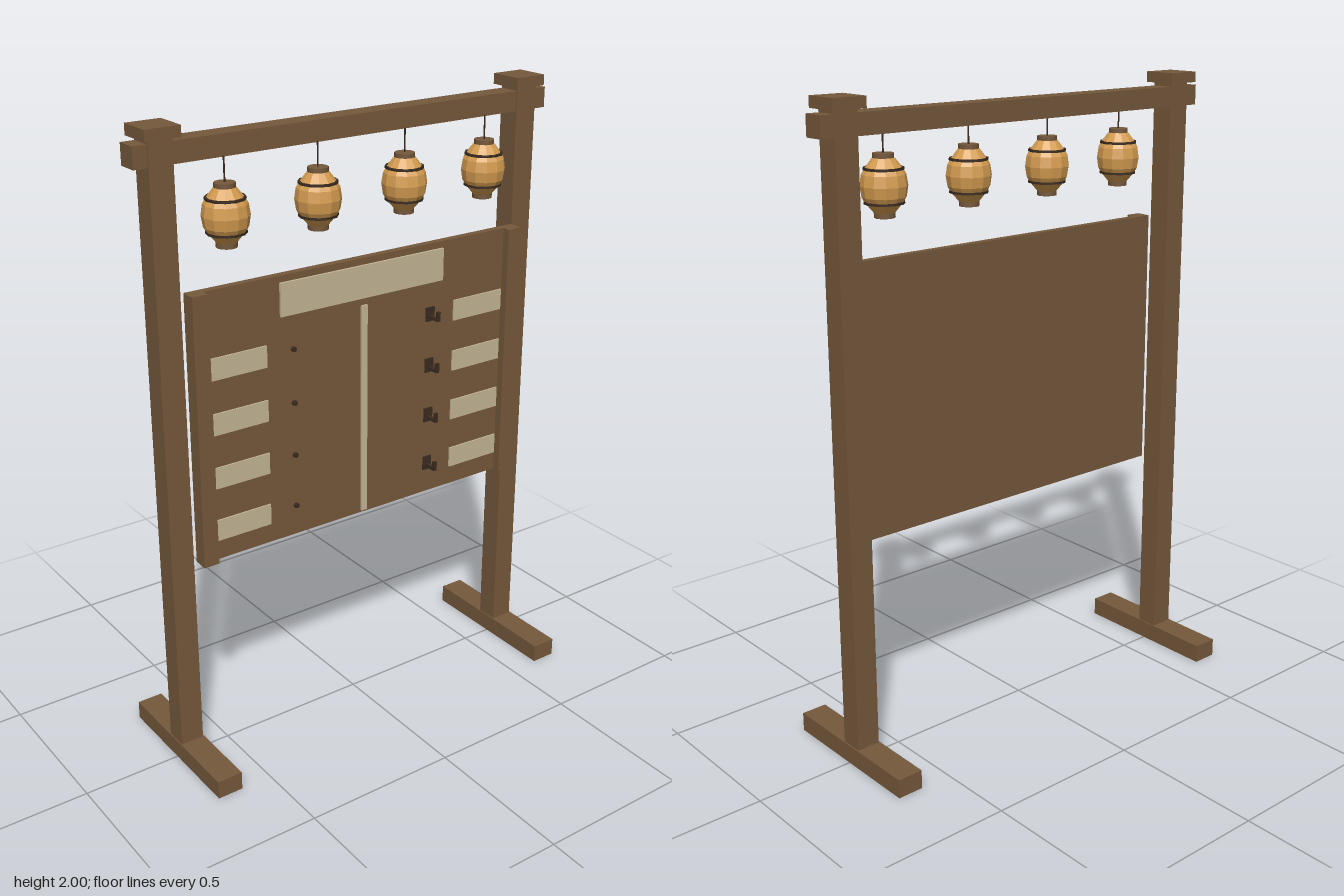
import * as THREE from 'three';

const mat = (name, color, side = THREE.FrontSide) => {
  const m = new THREE.MeshStandardMaterial({ color, side });
  m.name = name;
  return m;
};

export function createModel() {
  const wood = mat('wood', 0x75583b);
  const paper = mat('paper', 0xc4b595);
  const amber = mat('lanternAmber', 0xd49c50);
  const iron = mat('darkIron', 0x3b2c20);
  amber.flatShading = true;

  const model = new THREE.Group();
  model.name = 'noticeBoard';

  const add = (parent, name, geometry, material, x, y, z) => {
    const mesh = new THREE.Mesh(geometry, material);
    mesh.name = name;
    mesh.position.set(x, y, z);
    parent.add(mesh);
    return mesh;
  };
  // Box given by its limits on each axis
  const box = (parent, name, material, [x0, x1], [y0, y1], [z0, z1]) =>
    add(parent, name, new THREE.BoxGeometry(x1 - x0, y1 - y0, z1 - z0), material,
      (x0 + x1) / 2, (y0 + y1) / 2, (z0 + z1) / 2);
  const around = (c, w) => [c - w / 2, c + w / 2];

  // Frame: feet, posts, caps and the top beam
  for (const s of [-1, 1]) {
    const side = s > 0 ? 'left' : 'right';
    box(model, side + 'Foot', wood, around(s * 0.643, 0.083), [0, 0.06], [-0.256, 0.256]);
    box(model, side + 'Post', wood, around(s * 0.643, 0.075), [0.06, 1.968], [-0.045, 0.028]);
    box(model, side + 'Cap', wood, around(s * 0.643, 0.11), [1.967, 2], [-0.064, 0.046]);
    box(model, side + 'BoardEdge', wood, around(s * 0.574, 0.05), [0.69, 1.535], [0.054, 0.081]);
  }
  box(model, 'topBeam', wood, [-0.724, 0.724], [1.893, 1.956], [-0.043, 0.024]);

  // Board with its title plate and dividing strip
  box(model, 'board', wood, [-0.598, 0.598], [0.69, 1.535], [0.031, 0.055]);
  box(model, 'titlePlate', paper, [-0.3, 0.3], [1.411, 1.514], [0.055, 0.063]);
  box(model, 'dividingStrip', paper, [-0.011, 0.011], [0.698, 1.388], [0.055, 0.061]);

  // Rows of name plates, pegs and hooks
  const pegGeometry = new THREE.CylinderGeometry(0.008, 0.008, 0.012, 8).rotateX(Math.PI / 2);
  for (let i = 0; i < 4; i++) {
    const y = 1.3 - i * 0.171;
    for (const s of [-1, 1]) {
      box(model, 'namePlate', paper, around(s * 0.447, 0.196), around(y, 0.068), [0.055, 0.06]);
    }
    add(model, 'peg', pegGeometry, iron, -0.257, y + 0.003, 0.06);

    const hook = new THREE.Group();
    hook.name = 'hook';
    hook.position.set(0.255, y + 0.007, 0);
    box(hook, 'hookPlate', iron, [-0.016, 0.016], [-0.023, 0.023], [0.055, 0.061]);
    box(hook, 'hookArm', iron, [-0.006, 0.006], [-0.013, -0.003], [0.061, 0.103]);
    box(hook, 'hookTip', iron, [-0.006, 0.006], [-0.003, 0.018], [0.094, 0.103]);
    model.add(hook);
  }

  // Hanging lanterns
  const profile = [
    [0.03, -0.078], [0.055, -0.048], [0.064, -0.032], [0.069, 0],
    [0.064, 0.032], [0.055, 0.048], [0.032, 0.078],
  ].map(([r, y]) => new THREE.Vector2(r, y));
  const bodyGeometry = new THREE.LatheGeometry(profile, 12);
  const bandGeometry = new THREE.CylinderGeometry(0.059, 0.059, 0.007, 12);
  const capGeometry = new THREE.CylinderGeometry(0.031, 0.031, 0.014, 12);
  const cordGeometry = new THREE.CylinderGeometry(0.0025, 0.0025, 0.075, 6);
  for (const x of [-0.462, -0.155, 0.155, 0.462]) {
    const lantern = new THREE.Group();
    lantern.name = 'lantern';
    lantern.position.set(x, 1.738, 0.045);
    add(lantern, 'lanternBody', bodyGeometry, amber, 0, 0, 0);
    for (const s of [-1, 1]) {
      add(lantern, 'lanternBand', bandGeometry, iron, 0, s * 0.048, 0);
      add(lantern, 'lanternCap', capGeometry, wood, 0, s * 0.084, 0);
    }
    add(lantern, 'cord', cordGeometry, iron, 0, 0.125, 0);
    model.add(lantern);
  }

  return model;
}
